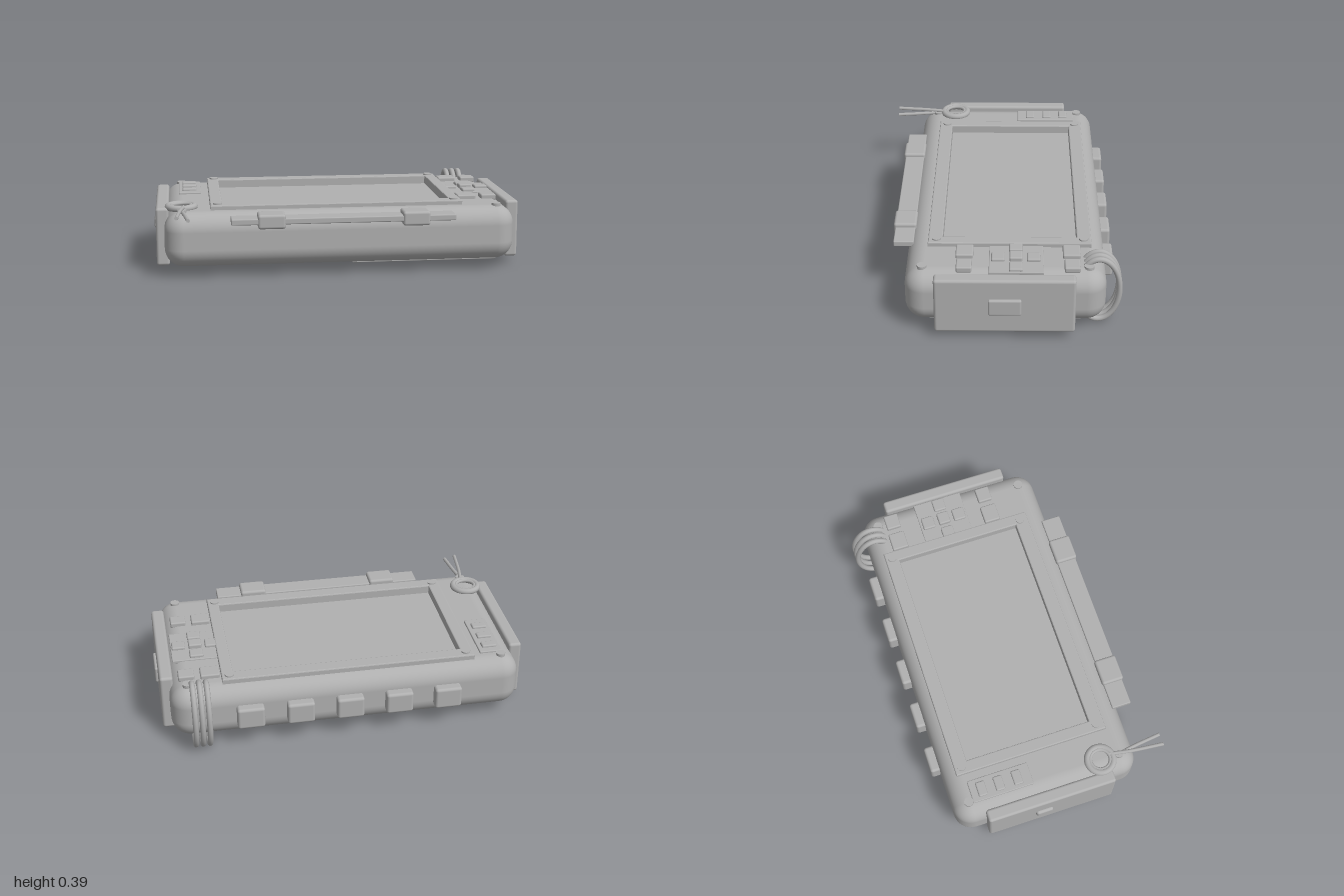
import * as THREE from 'three';
import { RoundedBoxGeometry } from 'three/addons/geometries/RoundedBoxGeometry.js';

const grey = new THREE.MeshStandardMaterial({ color: 0xb0b0b0 });
grey.name = 'plain grey';

export function createModel() {
  const model = new THREE.Group();
  model.name = 'handheldDevice';

  const add = (name, geometry) => {
    const mesh = new THREE.Mesh(geometry, grey);
    mesh.name = name;
    model.add(mesh);
    return mesh;
  };
  // Rounded block given by its extents
  const block = (name, x0, x1, y0, y1, z0, z1, r = 0.01) => {
    const mesh = add(name, new RoundedBoxGeometry(x1 - x0, y1 - y0, z1 - z0, 3, r));
    mesh.position.set((x0 + x1) / 2, (y0 + y1) / 2, (z0 + z1) / 2);
    return mesh;
  };
  // Block centred on x, z
  const key = (name, x, z, w, d, y0, y1, r = 0.008) =>
    block(name, x - w / 2, x + w / 2, y0, y1, z - d / 2, z + d / 2, r);
  const screw = (name, x, z, r, y0, y1) => {
    add(name, new THREE.CylinderGeometry(r, r, y1 - y0, 20)).position.set(x, (y0 + y1) / 2, z);
  };
  // Rectangle outline lying in the ground plane (shape y = -z)
  const rect = (x0, x1, z0, z1, Kind = THREE.Shape) => new Kind([
    new THREE.Vector2(x0, -z1), new THREE.Vector2(x1, -z1),
    new THREE.Vector2(x1, -z0), new THREE.Vector2(x0, -z0)]);

  // Body shell: rounded box whose flat top is replaced by a face with a screen opening
  const R = 0.1, TOP = 0.35;
  const shell = new RoundedBoxGeometry(1.88, 0.295, 1.025, 6, R);
  const { position, normal } = shell.attributes;
  const p = [], n = [];
  for (let i = 0; i < position.count; i += 3) {
    if ([0, 1, 2].every((k) => normal.getY(i + k) > 0.9999)) continue;
    for (let k = i; k < i + 3; k++) {
      p.push(position.getX(k), position.getY(k), position.getZ(k));
      n.push(normal.getX(k), normal.getY(k), normal.getZ(k));
    }
  }
  const open = new THREE.BufferGeometry();
  open.setAttribute('position', new THREE.Float32BufferAttribute(p, 3));
  open.setAttribute('normal', new THREE.Float32BufferAttribute(n, 3));
  add('bodyShell', open).position.set(0, TOP - 0.1475, -0.0325);

  const deck = rect(-0.94 + R, 0.94 - R, -0.545 + R, 0.48 - R);
  deck.holes.push(rect(-0.65, 0.62, -0.42, 0.314, THREE.Path));
  add('bodyTop', new THREE.ShapeGeometry(deck).rotateX(-Math.PI / 2)).position.y = TOP;

  // Screen frame and sunken screen
  const frame = rect(-0.695, 0.663, -0.475, 0.37);
  frame.holes.push(rect(-0.63, 0.6, -0.4, 0.294, THREE.Path));
  add('screenFrame', new THREE.ExtrudeGeometry(frame, {
    depth: 0.052, bevelSize: 0.006, bevelThickness: 0.006, bevelOffset: -0.006, bevelSegments: 2,
  }).rotateX(-Math.PI / 2)).position.y = 0.316;
  add('screen', new THREE.BoxGeometry(1.25, 0.01, 0.71)).position.set(-0.015, 0.322, -0.053);
  for (const x of [-0.655, 0.622])
    for (const z of [-0.435, 0.326]) screw('frameScrew', x, z, 0.024, 0.36, 0.381);
  for (const x of [-0.845, 0.845])
    for (const z of [-0.455, 0.39]) screw('bodyScrew', x, z, 0.025, 0.33, 0.36);

  // Left key strip
  block('keyStrip', -0.86, -0.737, 0.34, 0.36, -0.433, -0.096, 0.005);
  for (const z of [-0.37, -0.273, -0.172]) key('stripKey', -0.8, z, 0.08, 0.05, 0.35, 0.372);

  // Right keys and direction pad
  for (const z of [-0.37, 0.178]) {
    key('largeKey', 0.72, z, 0.102, 0.09, 0.34, 0.372);
    key('smallKey', 0.845, z, 0.085, 0.08, 0.34, 0.372);
  }
  block('padPlate', 0.66, 0.905, 0.34, 0.357, -0.225, 0.052, 0.004);
  for (const [x, z] of [[0.773, -0.176], [0.773, 0.006], [0.683, -0.085], [0.863, -0.085]])
    key('padKey', x, z, 0.072, 0.07, 0.35, 0.372);
  key('padCentre', 0.773, -0.085, 0.07, 0.066, 0.35, 0.38);

  // Side grips and their buttons
  for (const s of [-1, 1])
    key('sideGrip', s * 0.95, -0.029, 0.07, 0.714, 0.044, 0.357, 0.015);
  block('rightButton', 0.96, 1, 0.156, 0.248, -0.113, 0.055);
  block('leftButton', -1, -0.96, 0.173, 0.235, -0.122, -0.026, 0.015);

  // Rear buttons
  for (let i = -2; i <= 2; i++)
    key('rearButton', i * 0.265, -0.557, 0.145, 0.076, 0.13, 0.25, 0.015);

  // Front rail with two clasps
  block('frontRail', -0.593, 0.593, 0.303, 0.335, 0.448, 0.555, 0.006);
  for (const s of [-1, 1]) key('railClasp', s * 0.382, 0.502, 0.145, 0.122, 0.28, 0.356, 0.014);

  // Cord coils at the rear corner
  const ellipse = new THREE.CatmullRomCurve3(Array.from({ length: 24 }, (_, i) => {
    const a = (i / 24) * Math.PI * 2;
    return new THREE.Vector3(0, 0.2 + 0.182 * Math.sin(a), -0.508 + 0.108 * Math.cos(a));
  }), true);
  const coil = new THREE.TubeGeometry(ellipse, 64, 0.015, 10, true);
  for (const x of [0.75, 0.787, 0.824]) add('cordCoil', coil).position.x = x;

  // Strap ring with two loose tails
  const ring = (name, r, t, y) =>
    add(name, new THREE.TorusGeometry(r, t, 12, 40).rotateX(Math.PI / 2)).position.set(-0.848, y, 0.283);
  ring('strapRing', 0.07, 0.018, 0.358);
  ring('strapInnerRing', 0.054, 0.01, 0.362);
  for (const [x0, x1, y] of [[-0.835, -0.875, 0.366], [-0.86, -0.815, 0.352]]) {
    const path = new THREE.CatmullRomCurve3([
      new THREE.Vector3(x0, y, 0.34), new THREE.Vector3((x0 + x1) / 2, y, 0.45),
      new THREE.Vector3(x1, y, 0.633)]);
    add('strapTail', new THREE.TubeGeometry(path, 16, 0.01, 8));
    add('strapTailEnd', new THREE.CircleGeometry(0.01, 8)).position.set(x1, y, 0.633);
  }

  // Underside: battery cover with screws and vents, and a blank plate
  block('batteryCover', 0.065, 0.86, 0.04, 0.07, -0.42, 0.36, 0.004);
  for (const x of [0.105, 0.82])
    for (const z of [-0.37, 0.31]) screw('coverScrew', x, z, 0.02, 0.033, 0.05);
  for (let i = -3; i <= 3; i++)
    key('ventRib', 0.665 + i * 0.045, -0.04, 0.02, 0.2, 0.034, 0.05, 0.004);
  block('basePlate', -0.47, 0.02, 0.049, 0.065, -0.07, 0.19, 0.003);

  return model;
}
